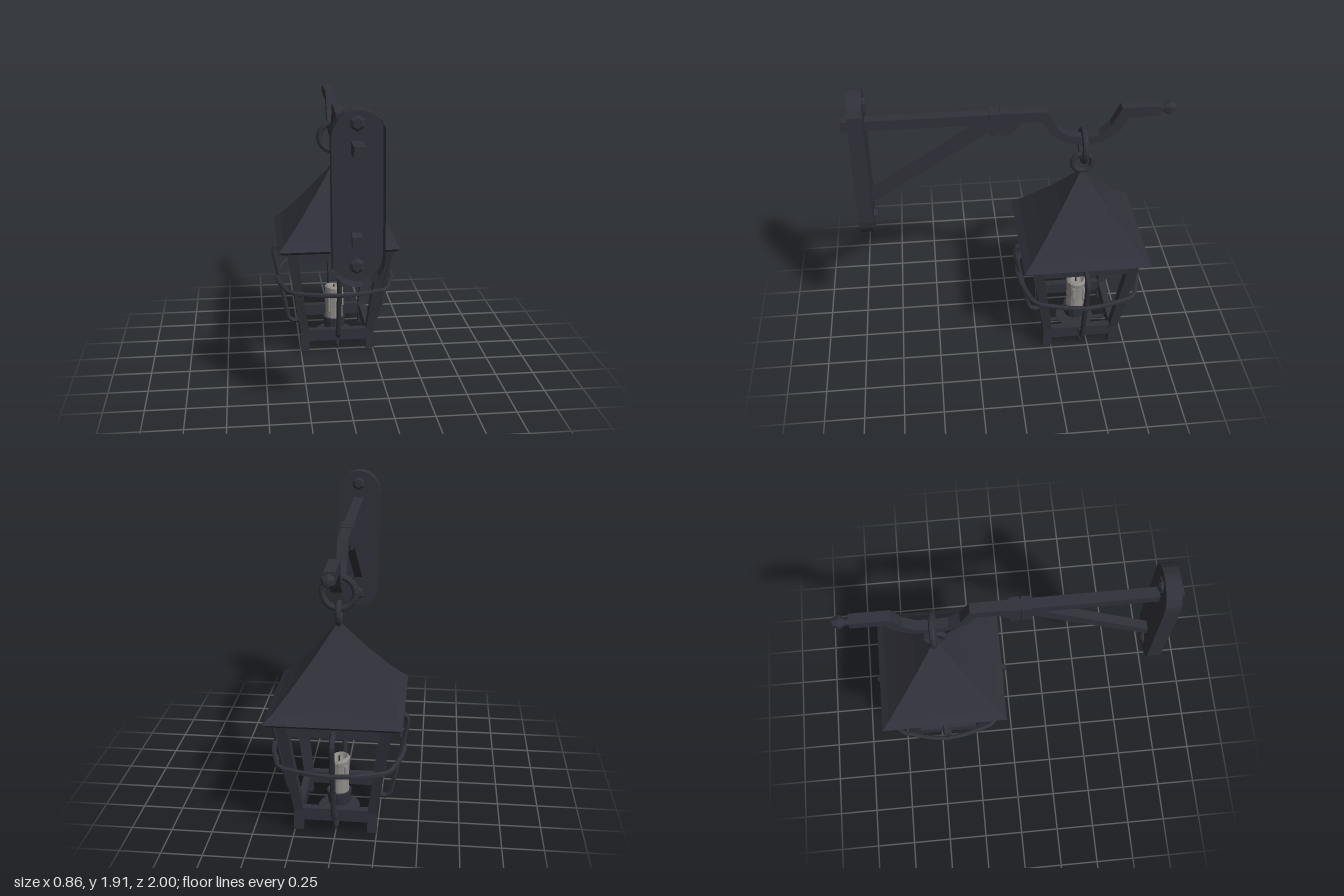
import * as THREE from 'three';

const iron = new THREE.MeshStandardMaterial({ color: 0x30303a, flatShading: true, side: THREE.DoubleSide });
iron.name = 'dark iron';
const wax = new THREE.MeshStandardMaterial({ color: 0x8f8c88, flatShading: true });
wax.name = 'grey wax';

function add(parent, name, geo, x = 0, y = 0, z = 0, mat = iron) {
  const m = new THREE.Mesh(geo, mat);
  m.name = name;
  m.position.set(x, y, z);
  parent.add(m);
  return m;
}

// Side outline given as [z, y] points, extruded across x
function sideProfile(pts, width) {
  const shape = new THREE.Shape(pts.map(([z, y]) => new THREE.Vector2(z, y)));
  const g = new THREE.ExtrudeGeometry(shape, { depth: width, bevelEnabled: false });
  return g.translate(0, 0, -width / 2).rotateY(-Math.PI / 2);
}

// Bent wire through points, with short rounded bends
function wire(pts, radius, closed = false, segments = 36) {
  const curve = new THREE.CatmullRomCurve3(pts.map(p => new THREE.Vector3(...p)), closed, 'catmullrom', 0.15);
  return new THREE.TubeGeometry(curve, segments, radius, 6, closed);
}

// Pull the two halves of a round shape apart along y
function stretch(geo, half) {
  const p = geo.attributes.position;
  for (let i = 0; i < p.count; i++) p.setY(i, p.getY(i) + Math.sign(p.getY(i)) * half);
  return geo;
}

function buildBracket() {
  const g = new THREE.Group();
  g.name = 'wallBracket';

  // Wall plate: a shallow pan, open toward the wall
  const r = 0.147, half = 0.34, step = Math.PI / 18;
  const rim = new THREE.CylinderGeometry(r, r, 0.09, 18, 1, true, step / 2 + step / 2).rotateX(Math.PI / 2);
  add(g, 'wallPlateRim', stretch(rim, half), 0, 1.423, 0.905);
  const face = new THREE.CircleGeometry(r, 18, step);
  const fp = face.attributes.position;
  for (let i = 1; i < fp.count; i++) fp.setY(i, fp.getY(i) + Math.sign(fp.getY(i)) * half);
  add(g, 'wallPlateFace', face, 0, 1.423, 0.86);

  // Bolts
  for (const y of [1.825, 1.03]) {
    add(g, 'bolt', new THREE.CylinderGeometry(0.045, 0.045, 0.03, 6).rotateX(Math.PI / 2), 0, y, 0.862);
    add(g, 'boltHead', new THREE.CylinderGeometry(0.045, 0.028, 0.012, 6).rotateX(Math.PI / 2), 0, y, 0.841);
    add(g, 'boltEnd', new THREE.CylinderGeometry(0.028, 0.045, 0.012, 6).rotateX(Math.PI / 2), 0, y, 0.883);
  }

  // Arm with a dip that holds the lantern ring
  add(g, 'arm', sideProfile([
    [1, 1.727], [-0.22, 1.727], [-0.28, 1.604], [-0.35, 1.551], [-0.445, 1.535], [-0.535, 1.548],
    [-0.605, 1.61], [-0.665, 1.727], [-0.9, 1.727], [-0.9, 1.663], [-0.71, 1.663], [-0.655, 1.567],
    [-0.56, 1.503], [-0.445, 1.476], [-0.33, 1.503], [-0.24, 1.572], [-0.18, 1.663], [1, 1.663],
  ], 0.065));

  // Diagonal brace
  add(g, 'brace', sideProfile([
    [0.89, 1.2], [0.18, 1.665], [-0.05, 1.665], [-0.05, 1.635], [-0.01, 1.6], [0.145, 1.6], [0.89, 1.13],
  ], 0.055));

  // Clamps joining brace and arm
  for (const z of [0.104, 0.035]) add(g, 'clamp', new THREE.BoxGeometry(0.085, 0.145, 0.06), 0, 1.663, z);

  // Finial at the arm tip
  add(g, 'finialNeck', new THREE.CylinderGeometry(0.022, 0.022, 0.05, 6).rotateX(Math.PI / 2), 0, 1.695, -0.91);
  const knob = new THREE.LatheGeometry([[0, -0.042], [0.025, -0.036], [0.042, 0], [0.025, 0.036], [0, 0.042]]
    .map(p => new THREE.Vector2(...p)), 6);
  add(g, 'finialKnob', knob.rotateX(Math.PI / 2), 0, 1.695, -0.958);
  return g;
}

// Corner post leaning outward from bottom to top
function cornerPost() {
  const g = new THREE.BoxGeometry(1, 1, 1);
  const p = g.attributes.position;
  for (let i = 0; i < p.count; i++) {
    const t = p.getY(i) + 0.5;
    const c = 0.223 + 0.084 * t, w = 0.056 + 0.01 * t;
    p.setXYZ(i, c + p.getX(i) * w, 0.16 + 0.61 * t, c + p.getZ(i) * w);
  }
  return g;
}

function buildLantern() {
  const g = new THREE.Group();
  g.name = 'lantern';
  g.position.z = -0.445;

  // Hanging rings
  add(g, 'largeRing', new THREE.TorusGeometry(0.097, 0.02, 8, 20), 0, 1.463, 0);
  add(g, 'smallRing', new THREE.TorusGeometry(0.061, 0.018, 8, 16).rotateY(Math.PI / 2), 0, 1.34, 0);

  // Flared pyramid roof with an eave lip
  const roof = [[0.335, 0.765], [0.375, 0.768], [0.4, 0.79], [0.355, 0.83], [0.27, 0.928], [0.145, 1.088], [0.005, 1.285]];
  add(g, 'roof', new THREE.LatheGeometry(
    roof.map(([r, y]) => new THREE.Vector2(r * Math.SQRT2, y)), 4, Math.PI / 4));

  // Four identical sides
  const d = 0.223;
  for (let i = 0; i < 4; i++) {
    const side = new THREE.Group();
    side.name = 'lanternSide';
    side.rotation.y = i * Math.PI / 2;
    g.add(side);
    add(side, 'cornerPost', cornerPost());
    add(side, 'foot', new THREE.BoxGeometry(0.056, 0.15, 0.056), d, 0.097, d);
    add(side, 'topRail', new THREE.BoxGeometry(0.58, 0.08, 0.05), 0, 0.728, 0.302);
    add(side, 'bottomRail', new THREE.BoxGeometry(0.42, 0.08, 0.045), 0, 0.13, d);
    add(side, 'cageWire', wire([
      [0, 0.145, 0.23], [0, 0.145, 0.295], [0, 0.175, 0.322], [0, 0.42, 0.371],
      [0, 0.66, 0.418], [0, 0.695, 0.41], [0, 0.712, 0.38], [0, 0.725, 0.31],
    ], 0.017));
  }

  // Cage hoop bowing around the sides
  const hoop = [];
  for (let i = 0; i < 4; i++) {
    const a = i * Math.PI / 2, c = Math.cos(a), s = Math.sin(a);
    for (const [u, v] of [[0.4, 0], [0.385, 0.12], [0.335, 0.29], [0.29, 0.335], [0.12, 0.385]])
      hoop.push([u * c - v * s, 0.48, u * s + v * c]);
  }
  add(g, 'cageHoop', wire(hoop, 0.016, true, 80));

  // Crossed wires beneath the base
  [0.014, 0.026].forEach((y, i) => {
    const w = add(g, 'baseWire', wire([
      [-0.22, 0.1, 0], [-0.222, 0.04, 0], [-0.205, y, 0], [0, y, 0], [0.205, y, 0], [0.222, 0.04, 0], [0.22, 0.1, 0],
    ], 0.013));
    w.rotation.y = i * Math.PI / 2;
  });

  // Candle holder
  add(g, 'candleDish', new THREE.CylinderGeometry(0.13, 0.125, 0.014, 16), 0, 0.052, 0);
  add(g, 'candleStem', new THREE.CylinderGeometry(0.03, 0.03, 0.08, 8), 0, 0.06, 0);
  add(g, 'candleCup', new THREE.CylinderGeometry(0.078, 0.07, 0.08, 14), 0, 0.13, 0);

  // Melted candle with an uneven rim
  const body = new THREE.LatheGeometry([[0.064, 0.1], [0.06, 0.25], [0.063, 0.35], [0.066, 0.385], [0.052, 0.4], [0.035, 0.375], [0, 0.368]]
    .map(p => new THREE.Vector2(...p)), 14);
  const p = body.attributes.position;
  for (let i = 0; i < p.count; i++) {
    const x = p.getX(i), y = p.getY(i), z = p.getZ(i);
    if (y > 0.37) p.setY(i, y - 0.16 * x + 0.1 * z);
  }
  add(g, 'candle', body, 0, 0, 0, wax);
  [[0.4, 0.3, 0.08], [2.3, 0.27, 0.1], [3.9, 0.32, 0.06], [5.3, 0.28, 0.09]].forEach(([a, y, len]) =>
    add(g, 'waxDrip', new THREE.CapsuleGeometry(0.013, len, 3, 6), 0.058 * Math.cos(a), y, 0.058 * Math.sin(a), wax));
  add(g, 'wick', new THREE.CylinderGeometry(0.005, 0.005, 0.04, 5), 0, 0.385, 0);
  return g;
}

export function createModel() {
  const model = new THREE.Group();
  model.name = 'wallLantern';
  model.add(buildBracket(), buildLantern());
  return model;
}
